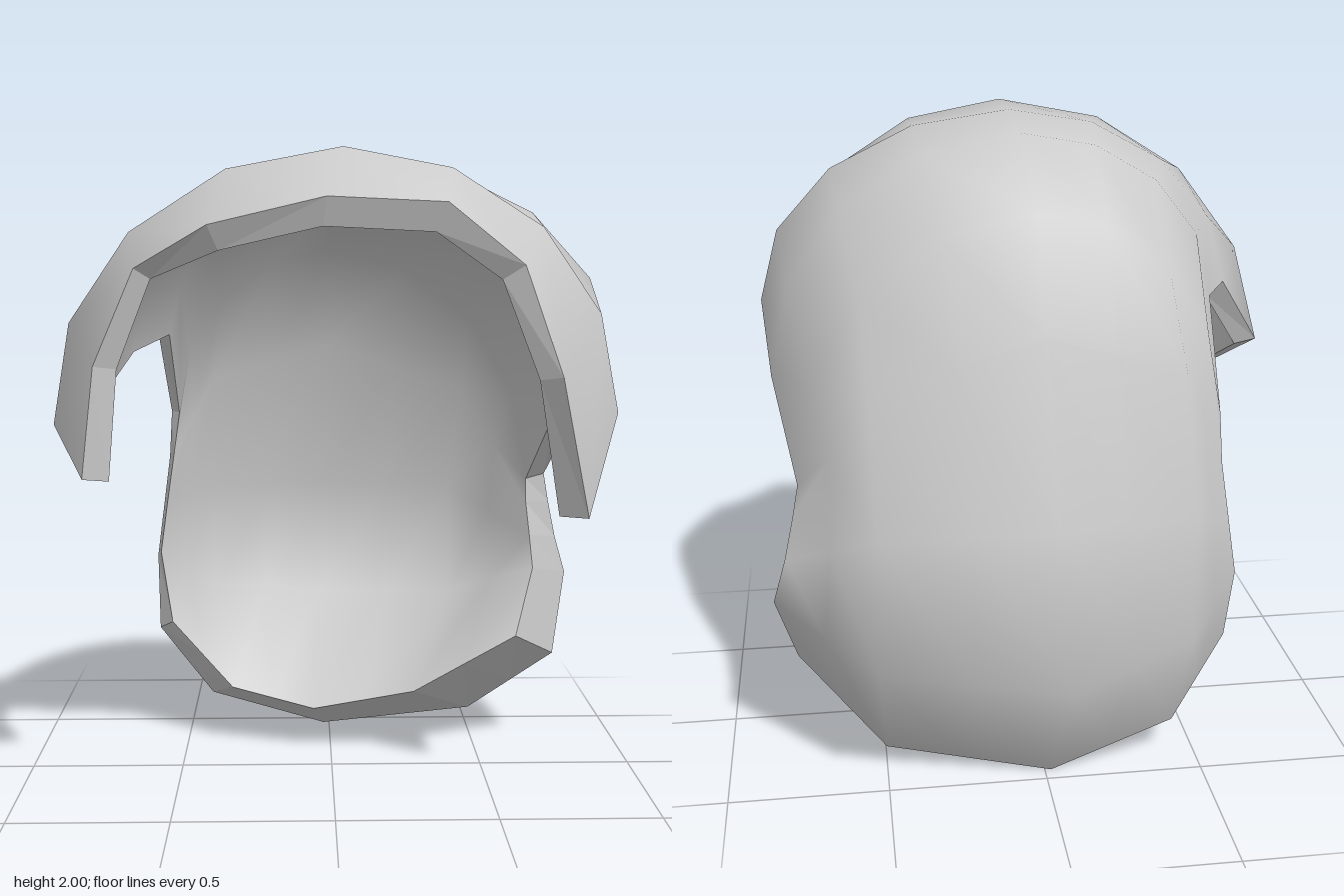
import * as THREE from 'three';

const COLS = 8;

// Fringe edge, from the right lock tip over the brow to the left lock tip
const fringeOuter = [
  [-0.74, 1.05, 0.51], [-0.70, 1.38, 0.52], [-0.575, 1.66, 0.55], [-0.36, 1.78, 0.66], [-0.03, 1.855, 0.73],
  [0.30, 1.84, 0.73], [0.52, 1.67, 0.68], [0.63, 1.36, 0.69], [0.735, 0.94, 0.57],
];
const fringeInner = [
  [-0.665, 1.04, 0.48], [-0.635, 1.37, 0.49], [-0.53, 1.63, 0.52], [-0.33, 1.71, 0.63], [-0.04, 1.775, 0.70],
  [0.27, 1.76, 0.70], [0.46, 1.63, 0.65], [0.57, 1.35, 0.65], [0.655, 0.94, 0.53],
];

// Rounded crown arches, front to back: right end, middle, left end
const outerCrown = [
  [[-0.85, 1.19, 0.31], [0.02, 2.00, 0.54], [0.83, 1.24, 0.48]],
  [[-0.68, 1.44, 0.15], [0.02, 2.00, 0.27], [0.84, 1.40, 0.27]],
  [[-0.57, 1.46, -0.10], [0.02, 1.97, -0.05], [0.81, 1.22, 0.00]],
  [[-0.55, 1.16, -0.36], [0.02, 1.79, -0.33], [0.74, 0.95, -0.26]],
];
const innerCrown = [
  [[-0.77, 1.18, 0.29], [0.01, 1.92, 0.50], [0.75, 1.22, 0.45]],
  [[-0.62, 1.40, 0.16], [0.01, 1.92, 0.25], [0.76, 1.37, 0.26]],
  [[-0.53, 1.44, -0.08], [0.01, 1.88, -0.02], [0.73, 1.20, 0.01]],
  [[-0.52, 1.16, -0.31], [0.00, 1.71, -0.27], [0.67, 0.94, -0.21]],
];

// Angular rows down the back to the nape, right to left
const outerBack = [
  [[-0.56, 1.00, -0.37], [-0.42, 1.32, -0.45], [0.00, 1.45, -0.48], [0.52, 1.28, -0.43], [0.76, 0.85, -0.28]],
  [[-0.585, 0.82, -0.385], [-0.45, 0.88, -0.53], [-0.02, 0.90, -0.64], [0.51, 0.87, -0.55], [0.79, 0.72, -0.30]],
  [[-0.61, 0.64, -0.40], [-0.44, 0.50, -0.57], [-0.05, 0.43, -0.73], [0.52, 0.47, -0.62], [0.83, 0.59, -0.32]],
  [[-0.60, 0.39, -0.34], [-0.42, 0.13, -0.41], [-0.02, 0.00, -0.45], [0.50, 0.08, -0.37], [0.77, 0.33, -0.19]],
];
const innerBack = [
  [[-0.54, 1.02, -0.31], [-0.40, 1.28, -0.36], [0.00, 1.39, -0.40], [0.46, 1.24, -0.36], [0.67, 0.86, -0.20]],
  [[-0.565, 0.85, -0.305], [-0.42, 0.88, -0.44], [-0.02, 0.88, -0.53], [0.43, 0.87, -0.46], [0.68, 0.75, -0.17]],
  [[-0.59, 0.67, -0.30], [-0.41, 0.52, -0.42], [-0.04, 0.48, -0.51], [0.43, 0.50, -0.42], [0.69, 0.64, -0.15]],
  [[-0.55, 0.43, -0.26], [-0.34, 0.21, -0.20], [-0.06, 0.15, -0.14], [0.28, 0.23, -0.07], [0.62, 0.43, -0.04]],
];

// Two quarter ellipses meeting at the middle point
function arch([right, mid, left]) {
  return Array.from({ length: COLS + 1 }, (_, c) => {
    const t = (c / COLS) * Math.PI;
    const end = c <= COLS / 2 ? right : left;
    const across = Math.abs(Math.cos(t)), up = Math.sin(t);
    return [
      mid[0] + (end[0] - mid[0]) * across,
      end[1] + (mid[1] - end[1]) * up,
      end[2] + (mid[2] - end[2]) * up,
    ];
  });
}

// Straight segments, each halved to match the column count
function halved(points) {
  return points.flatMap((p, i) => {
    const next = points[i + 1];
    return next ? [p, p.map((v, k) => (v + next[k]) / 2)] : [p];
  });
}

// Skin over a list of equal-length rows
function skin(rows, flip) {
  const n = rows[0].length, index = [];
  for (let r = 0; r < rows.length - 1; r++) {
    for (let c = 0; c < n - 1; c++) {
      const a = r * n + c, b = a + 1, d = a + n, e = d + 1;
      if (flip) index.push(a, d, b, b, d, e);
      else index.push(a, b, d, b, e, d);
    }
  }
  const geometry = new THREE.BufferGeometry();
  geometry.setAttribute('position', new THREE.Float32BufferAttribute(rows.flat(2), 3));
  geometry.setIndex(index);
  geometry.computeVertexNormals();
  return geometry;
}

// Closed loop around the border of a grid of rows
function border(rows) {
  const last = rows.length - 1;
  const leftSide = rows.slice(1, last).map((row) => row[COLS]);
  const rightSide = rows.slice(1, last).map((row) => row[0]).reverse();
  return [...rows[0], ...leftSide, ...[...rows[last]].reverse(), ...rightSide, rows[0][0]];
}

export function createModel() {
  const group = new THREE.Group();
  group.name = 'hair';
  const smooth = new THREE.MeshStandardMaterial({ color: 0xcccccc });
  const faceted = new THREE.MeshStandardMaterial({ color: 0xcccccc, flatShading: true });

  const add = (name, geometry, material) => {
    const mesh = new THREE.Mesh(geometry, material);
    mesh.name = name;
    group.add(mesh);
  };

  const outer = [fringeOuter, ...outerCrown.map(arch), ...outerBack.map(halved)];
  const inner = [fringeInner, ...innerCrown.map(arch), ...innerBack.map(halved)];

  // Outside and inside of the hair shell
  add('outerHair', skin(outer, false), smooth);
  add('innerHair', skin(inner, true), smooth);

  // Cut edge joining both skins: fringe, ear notches and nape
  add('hairEdge', skin([border(outer), border(inner)], true), faceted);

  return group;
}
